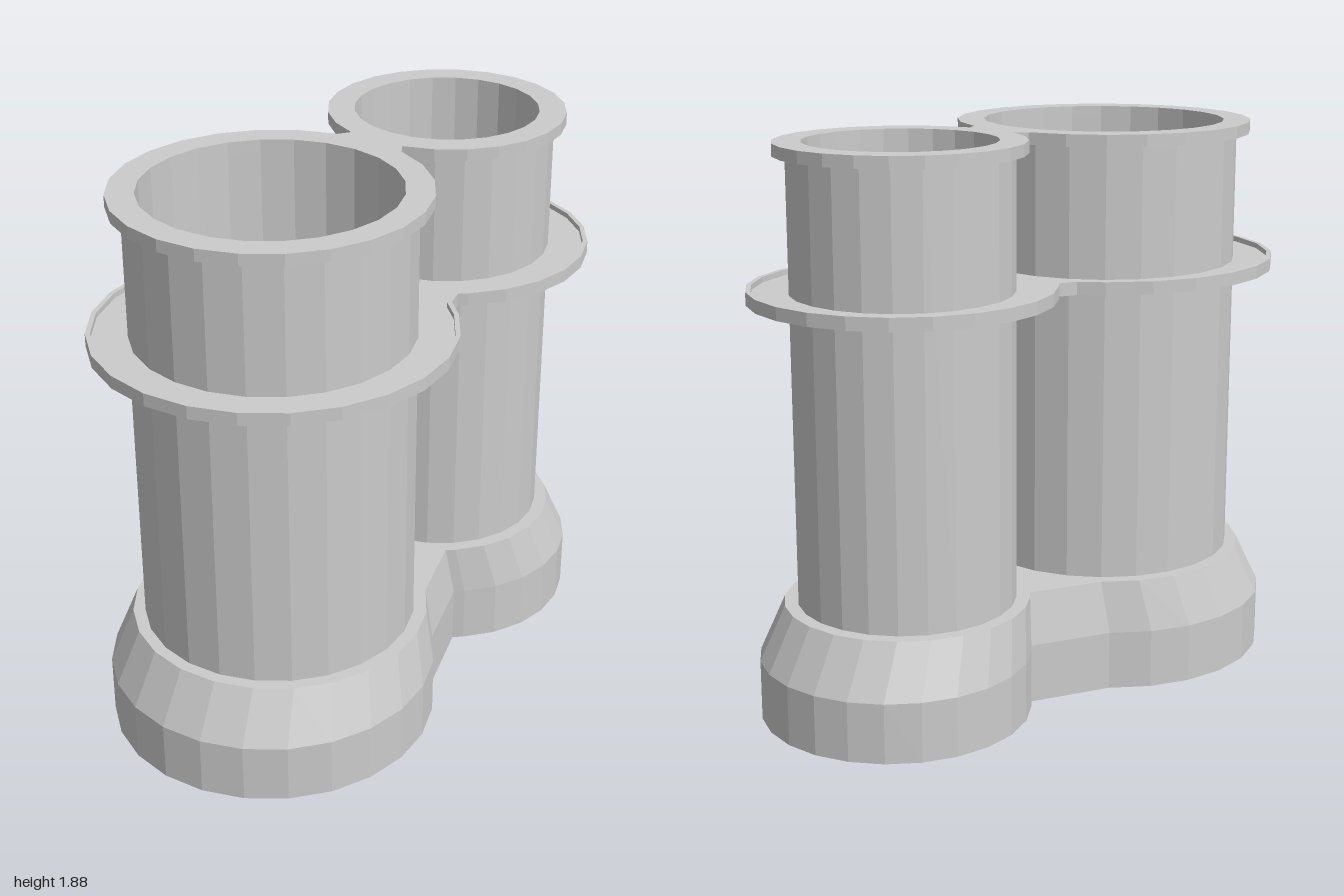
import * as THREE from 'three';

const STEP = Math.PI / 12; // 24-sided round parts
const BIG_X = -0.41, SMALL_X = 0.5;
const BIG_IN = 0.41, BIG_OUT = 0.455, SMALL_IN = 0.31, SMALL_OUT = 0.36;
const deg = THREE.MathUtils.degToRad;

// Polygonal arc from angle a to angle b, keeping the regular 24-gon corners
function arc(cx, r, a, b) {
  const angles = [a];
  for (let k = Math.floor(a / STEP + 1e-6) + 1; k * STEP < b - 1e-6; k++) angles.push(k * STEP);
  angles.push(b);
  return angles.map(t => new THREE.Vector2(cx + r * Math.cos(t), r * Math.sin(t)));
}

function circle(cx, r) {
  return arc(cx, r, 0, 2 * Math.PI).slice(0, -1);
}

// Figure-eight outline: two arcs joined by straight waist lines
function twinOutline(x1, r1, a1, x2, r2, a2) {
  return [
    ...arc(x1, r1, deg(a1), 2 * Math.PI - deg(a1)),
    ...arc(x2, r2, -Math.PI + deg(a2), Math.PI - deg(a2)),
  ];
}

// Upright prism from an outline with holes; the top may be scaled inwards
function prism(points, holes, y0, y1, topScale = 1) {
  const shape = new THREE.Shape(points);
  holes.forEach(h => shape.holes.push(new THREE.Path(h)));
  const geo = new THREE.ExtrudeGeometry(shape, { depth: y1 - y0, bevelEnabled: false });
  geo.rotateX(-Math.PI / 2);
  const p = geo.attributes.position;
  for (let i = 0; i < p.count; i++) {
    const s = p.getY(i) > (y1 - y0) / 2 ? topScale : 1;
    p.setXYZ(i, p.getX(i) * s, p.getY(i) + y0, p.getZ(i) * s);
  }
  geo.computeVertexNormals();
  return geo;
}

export function createModel() {
  const group = new THREE.Group();
  const material = new THREE.MeshStandardMaterial({ color: 0xcccccc, flatShading: true });
  const add = (name, geo) => {
    const mesh = new THREE.Mesh(geo, material);
    mesh.name = name;
    group.add(mesh);
  };

  // Base: straight plinth with a tapered shoulder
  const foot = twinOutline(-0.45, 0.55, 45, 0.5525, 0.4475, 40);
  add('basePlinth', prism(foot, [], 0, 0.2));
  add('baseShoulder', prism(foot, [], 0.2, 0.375, 0.905));

  // Two hollow pipes
  add('largePipe', prism(circle(BIG_X, BIG_OUT), [circle(BIG_X, BIG_IN)], 0.375, 1.835));
  add('smallPipe', prism(circle(SMALL_X, SMALL_OUT), [circle(SMALL_X, SMALL_IN)], 0.375, 1.835));

  // Collar plate around both pipes, with a thin raised lip
  const collar = inset => twinOutline(BIG_X, 0.587 - inset, 36, SMALL_X, 0.495 - inset, 41);
  const pipeHoles = [circle(BIG_X, BIG_OUT - 0.02), circle(SMALL_X, SMALL_OUT - 0.02)];
  add('collarPlate', prism(collar(0.008), pipeHoles, 1.376, 1.4));
  add('collarLip', prism(collar(0), [collar(0.016)], 1.375, 1.418));

  // Joined rim on top of the pipes
  const rim = twinOutline(BIG_X, 0.5, 15, SMALL_X, 0.4, 15);
  add('topRim', prism(rim, [circle(BIG_X, BIG_IN), circle(SMALL_X, SMALL_IN)], 1.835, 1.875));

  return group;
}
